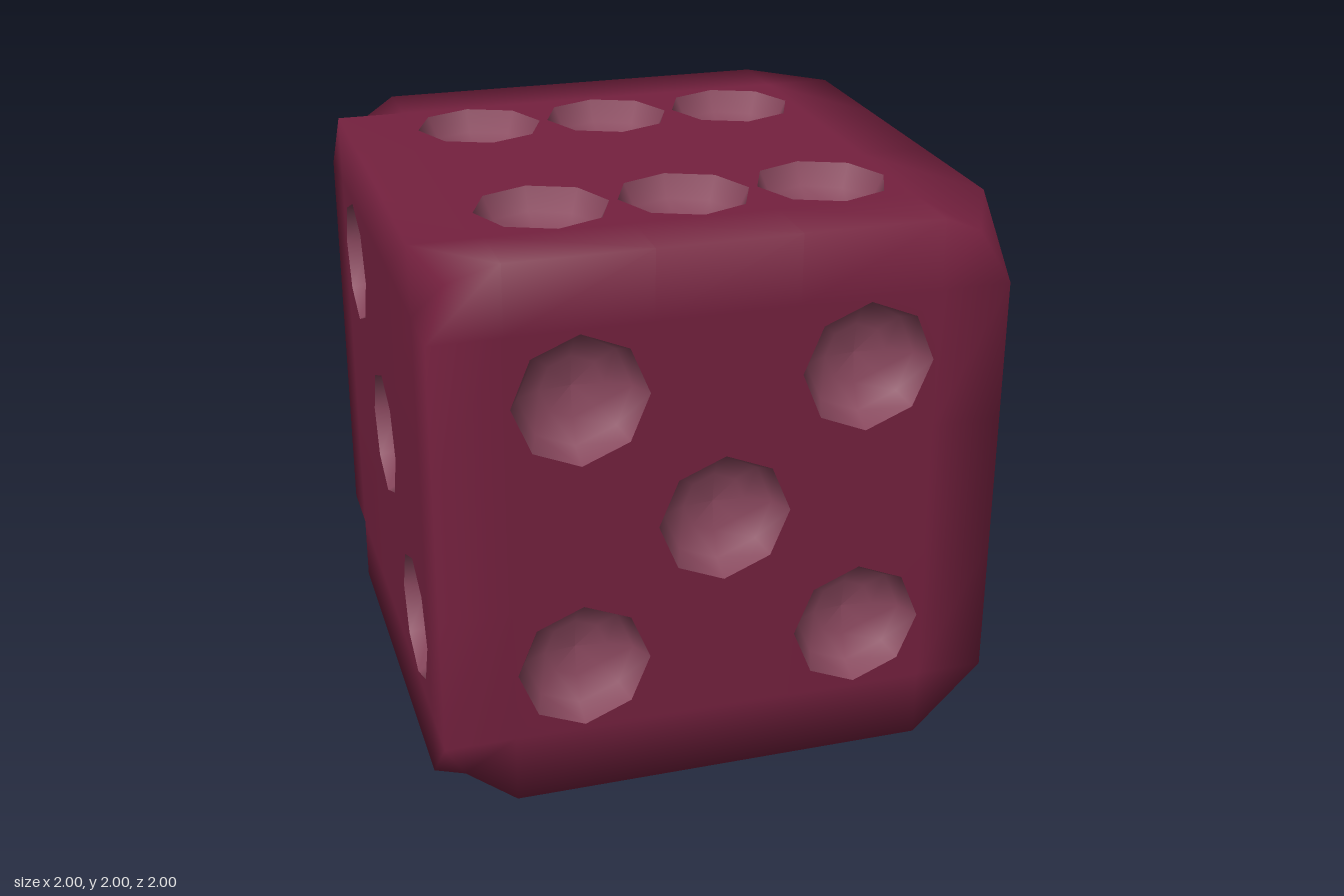
import * as THREE from 'three';
import { mergeVertices } from 'three/addons/utils/BufferGeometryUtils.js';

const V = (x, y, z) => new THREE.Vector3(x, y, z);
const CORNER = 0.917;                          // pulled-in cube corner
const GRID = [-1, -0.75, -0.25, 0.25, 0.75, 1];
const CELL = 0.25;                             // half size of a pip cell
const RIM = 0.235;                             // pip radius
const H = 0.5;

// Each face: right axis, up axis, outward normal and pip centres
const FACES = [
  { name: 'front', u: V(1, 0, 0), v: V(0, 1, 0), n: V(0, 0, 1), pips: [[-H, -H], [H, -H], [0, 0], [-H, H], [H, H]] },
  { name: 'back', u: V(-1, 0, 0), v: V(0, 1, 0), n: V(0, 0, -1), pips: [[-H, -H], [H, H]] },
  { name: 'right', u: V(0, 0, -1), v: V(0, 1, 0), n: V(1, 0, 0), pips: [[-H, -H], [H, -H], [-H, H], [H, H]] },
  { name: 'left', u: V(0, 0, 1), v: V(0, 1, 0), n: V(-1, 0, 0), pips: [[-H, H], [0, 0], [H, -H]] },
  { name: 'top', u: V(0, 0, 1), v: V(1, 0, 0), n: V(0, 1, 0), pips: [[-H, -H], [-H, 0], [-H, H], [H, -H], [H, 0], [H, H]] },
  { name: 'bottom', u: V(0, 0, 1), v: V(-1, 0, 0), n: V(0, -1, 0), pips: [[0, 0]] },
];

// Cube skin: a grid per face, with octagonal openings where pips sit
function bodyGeometry() {
  const pos = [];
  for (const { u, v, n, pips } of FACES) {
    const point = (a, b) => {
      const k = Math.abs(a) === 1 && Math.abs(b) === 1 ? CORNER : 1;
      return V(0, 0, 0).addScaledVector(u, a * k).addScaledVector(v, b * k).addScaledVector(n, k);
    };
    const tri = (...corners) => corners.forEach(([a, b]) => pos.push(...point(a, b).toArray()));

    for (let i = 0; i < 5; i++) for (let j = 0; j < 5; j++) {
      const [a0, a1, b0, b1] = [GRID[i], GRID[i + 1], GRID[j], GRID[j + 1]];
      const ca = (a0 + a1) / 2, cb = (b0 + b1) / 2;
      if (!pips.some(([a, b]) => a === ca && b === cb)) {
        tri([a0, b0], [a1, b0], [a1, b1]);
        tri([a0, b0], [a1, b1], [a0, b1]);
        continue;
      }
      const rim = (k) => [ca + RIM * Math.cos(k * Math.PI / 4), cb + RIM * Math.sin(k * Math.PI / 4)];
      const cell = (k) => [
        ca + CELL * Math.sign(Math.cos((k + 0.5) * Math.PI / 2)),
        cb + CELL * Math.sign(Math.sin((k + 0.5) * Math.PI / 2)),
      ];
      for (let k = 0; k < 4; k++) {
        tri(cell(k), rim(2 * k + 1), rim(2 * k));
        tri(cell(k), rim(2 * k + 2), rim(2 * k + 1));
        tri(cell(k), cell(k + 1), rim(2 * k + 2));
      }
    }
  }
  const geo = new THREE.BufferGeometry();
  geo.setAttribute('position', new THREE.Float32BufferAttribute(pos, 3));
  const merged = mergeVertices(geo, 1e-4);
  merged.computeVertexNormals();               // soft shading across the edges
  return merged;
}

export function createModel() {
  const model = new THREE.Group();
  model.name = 'die';
  const die = new THREE.Group();
  die.position.y = 1;
  model.add(die);

  const body = new THREE.Mesh(bodyGeometry(), new THREE.MeshStandardMaterial({ color: 0x75213f }));
  body.name = 'dieBody';
  die.add(body);

  // Eight-sided bowl, listed from rim to centre so it faces outward
  const bowl = new THREE.LatheGeometry([
    new THREE.Vector2(RIM, 0),
    new THREE.Vector2(0.195, -0.08),
    new THREE.Vector2(0.11, -0.125),
    new THREE.Vector2(0, -0.14),
  ], 8);
  const pipMaterial = new THREE.MeshStandardMaterial({ color: 0x87465c });

  for (const { name, u, v, n, pips } of FACES) {
    const group = new THREE.Group();
    group.name = name + 'Pips';
    const basis = new THREE.Matrix4().makeBasis(u, n, v.clone().negate());
    for (const [a, b] of pips) {
      const pip = new THREE.Mesh(bowl, pipMaterial);
      pip.name = 'pip';
      pip.quaternion.setFromRotationMatrix(basis);
      pip.position.copy(n).addScaledVector(u, a).addScaledVector(v, b);
      group.add(pip);
    }
    die.add(group);
  }
  return model;
}
